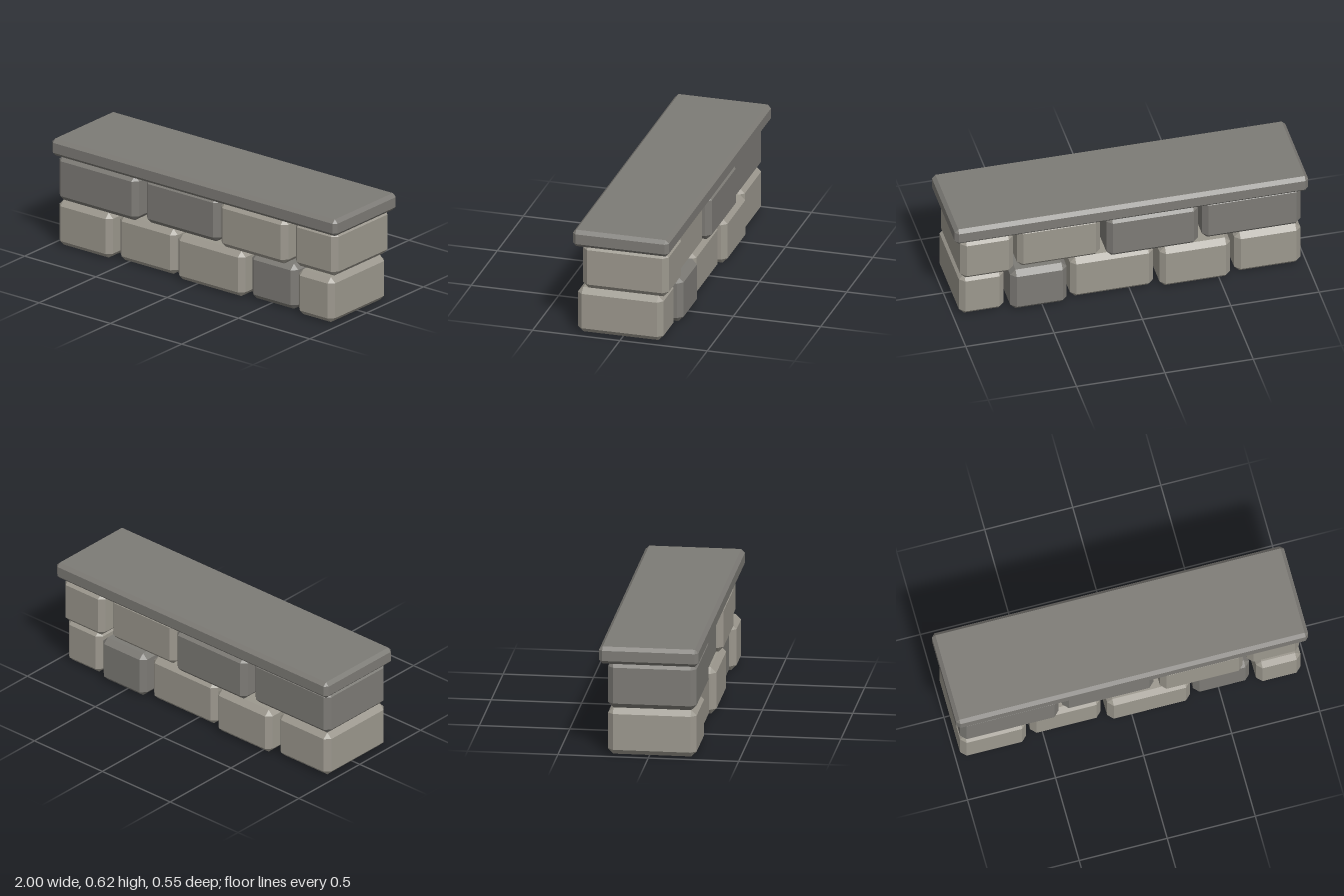
import * as THREE from 'three';
import { ConvexGeometry } from 'three/addons/geometries/ConvexGeometry.js';

const lightStone = new THREE.MeshStandardMaterial({ color: 0x9c988e, flatShading: true });
const darkStone = new THREE.MeshStandardMaterial({ color: 0x7d7b76, flatShading: true });

// Box with every edge and corner cut flat
function chamferedBox(w, h, d, c) {
  const points = [];
  for (const x of [-1, 1]) for (const y of [-1, 1]) for (const z of [-1, 1]) {
    for (let axis = 0; axis < 3; axis++) {
      const half = [w / 2, h / 2, d / 2].map((s, i) => (i === axis ? s : s - c));
      points.push(new THREE.Vector3(x * half[0], y * half[1], z * half[2]));
    }
  }
  return new ConvexGeometry(points);
}

function addBlock(parent, name, [x0, x1], [y0, y1], depth, z, chamfer, material) {
  const mesh = new THREE.Mesh(chamferedBox(x1 - x0, y1 - y0, depth, chamfer), material);
  mesh.position.set((x0 + x1) / 2, (y0 + y1) / 2, z);
  mesh.name = name;
  parent.add(mesh);
}

export function createModel() {
  const wall = new THREE.Group();
  wall.name = 'stoneWall';

  // Two courses of blocks; dark lists the darker stones
  const courses = [
    {
      name: 'lowerCourse', y: [0, 0.265], dark: [3],
      spans: [[-0.97, -0.595], [-0.565, -0.165], [-0.135, 0.335], [0.36, 0.68], [0.71, 0.963]],
    },
    {
      name: 'upperCourse', y: [0.265, 0.53], dark: [0, 1],
      spans: [[-0.97, -0.412], [-0.382, 0.136], [0.165, 0.635], [0.665, 0.963]],
    },
  ];
  for (const course of courses) {
    const group = new THREE.Group();
    group.name = course.name;
    course.spans.forEach((span, i) => {
      // Blocks step alternately forward and back
      const z = i % 2 ? -0.015 : 0.015;
      const material = course.dark.includes(i) ? darkStone : lightStone;
      addBlock(group, `block${i + 1}`, span, course.y, 0.49, z, 0.03, material);
    });
    wall.add(group);
  }

  // Capping slab
  addBlock(wall, 'capSlab', [-1, 1], [0.525, 0.623], 0.55, 0, 0.02, darkStone);
  return wall;
}
